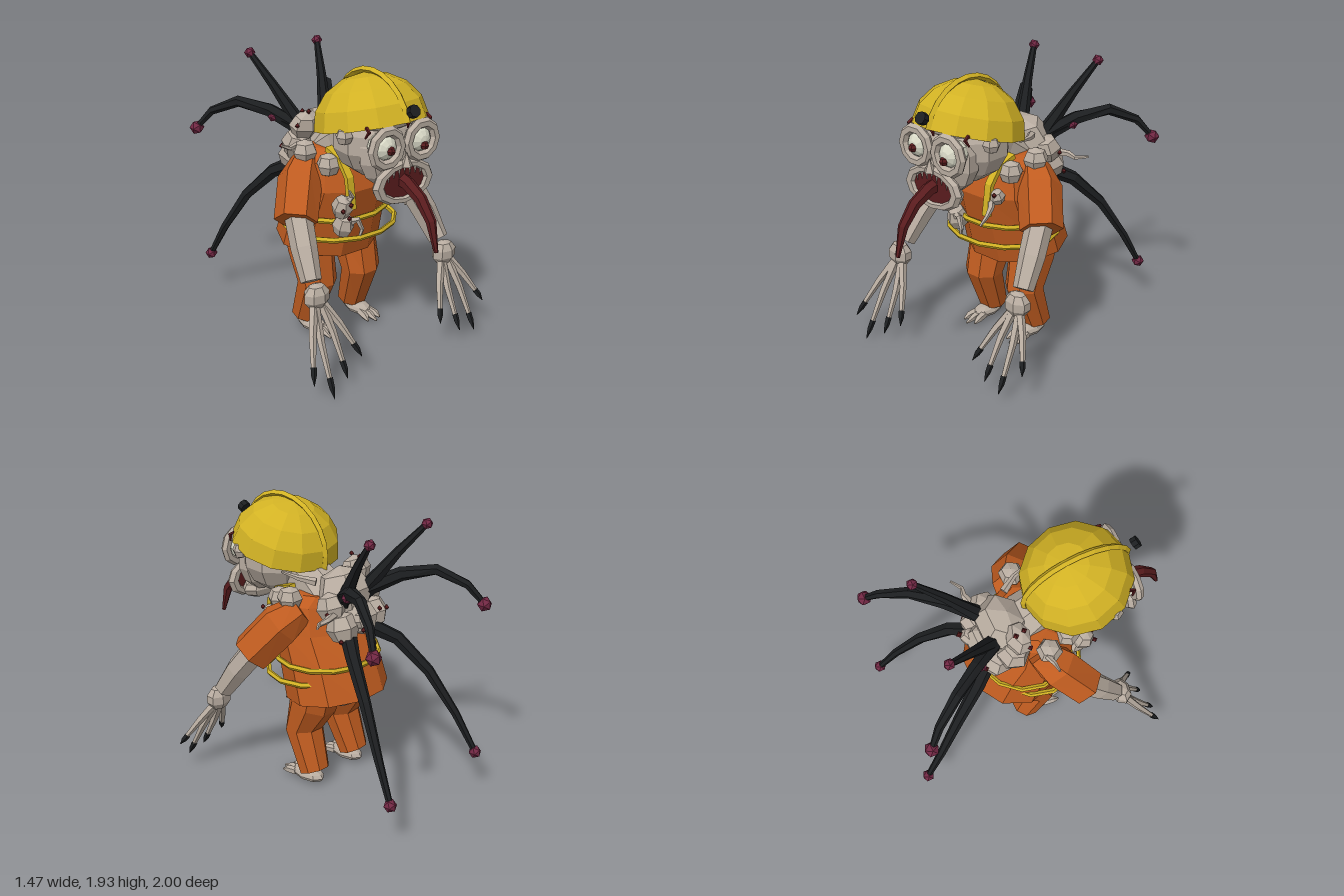
import * as THREE from 'three';

const V = (p) => new THREE.Vector3(...p);

export function createModel() {
  const root = new THREE.Group();
  root.name = 'mutantWorker';
  const mat = (name, color, side = THREE.FrontSide) => {
    const m = new THREE.MeshStandardMaterial({ color, side });
    m.name = name;
    return m;
  };
  const skin = mat('paleSkin', 0xb8aca0);
  const orange = mat('orangeCloth', 0xc05c20, THREE.DoubleSide);
  const yellow = mat('safetyYellow', 0xd2b224, THREE.DoubleSide);
  const black = mat('black', 0x1c1e20);
  const white = mat('eyeWhite', 0xd8d8c6);
  const red = mat('darkRed', 0x5a1c1e);
  const purple = mat('tipPurple', 0x722844);

  // faceted mesh helper
  const add = (name, geo, material, pos = [0, 0, 0], rot = [0, 0, 0], scale = [1, 1, 1], parent = root) => {
    const g = geo.index ? geo.toNonIndexed() : geo;
    g.computeVertexNormals();
    const m = new THREE.Mesh(g, material);
    m.name = name;
    m.position.set(...pos);
    m.rotation.set(...rot);
    m.scale.set(...scale);
    parent.add(m);
    return m;
  };
  const blob = (name, material, pos, r, seg = 7, rot) =>
    add(name, new THREE.SphereGeometry(1, seg, Math.max(4, seg - 2)), material, pos, rot, Array.isArray(r) ? r : [r, r, r]);

  // skin a list of rings into a surface, closed at the end and, if asked, at the start
  const loft = (rings, closeStart = true) => {
    const n = rings[0].length, p = [];
    const tri = (...vs) => vs.forEach((v) => p.push(v.x, v.y, v.z));
    for (let i = 0; i < rings.length - 1; i++) {
      for (let j = 0; j < n; j++) {
        const k = (j + 1) % n, a = rings[i], b = rings[i + 1];
        tri(a[j], a[k], b[j]);
        tri(a[k], b[k], b[j]);
      }
    }
    const mid = (r) => r.reduce((s, v) => s.add(v), new THREE.Vector3()).divideScalar(n);
    const first = rings[0], last = rings[rings.length - 1], c0 = mid(first), c1 = mid(last);
    for (let j = 0; j < n; j++) {
      const k = (j + 1) % n;
      if (closeStart) tri(c0, first[k], first[j]);
      tri(c1, last[j], last[k]);
    }
    const g = new THREE.BufferGeometry();
    g.setAttribute('position', new THREE.Float32BufferAttribute(p, 3));
    return g;
  };

  // tapered limb through points; a radius may be [across, deep]
  const limb = (name, material, pts, radii, sides = 6) => {
    const P = pts.map(V), end = P[P.length - 1];
    const dir = end.clone().sub(P[0]).normalize();
    const ref = Math.abs(dir.x) > 0.8 ? V([0, 0, 1]) : V([1, 0, 0]);
    const rings = P.map((c, i) => {
      const t = P[Math.min(i + 1, P.length - 1)].clone().sub(P[Math.max(i - 1, 0)]).normalize();
      const u = ref.clone().addScaledVector(t, -ref.dot(t)).normalize();
      const v = t.clone().cross(u);
      const [a, b] = Array.isArray(radii[i]) ? radii[i] : [radii[i], radii[i]];
      return Array.from({ length: sides }, (_, j) => {
        const w = ((j + 0.5) / sides) * Math.PI * 2;
        return c.clone().addScaledVector(u, Math.cos(w) * a).addScaledVector(v, Math.sin(w) * b);
      });
    });
    return add(name, loft(rings), material);
  };

  // torso jacket: [front y, back y, front z, back z, half width]
  const torso = [
    [0.62, 0.71, 0.18, -0.43, 0.365], [0.9, 0.92, 0.25, -0.35, 0.35], [1.12, 1.12, 0.31, -0.23, 0.33],
    [1.29, 1.3, 0.26, -0.16, 0.29], [1.36, 1.36, 0.12, -0.13, 0.2],
  ].map(([yf, yb, zf, zb, rx]) => Array.from({ length: 10 }, (_, j) => {
    const w = ((j + 0.5) / 10) * Math.PI * 2, c = Math.cos(w) / Math.cos(Math.PI / 10), t = (c + 1) / 2;
    return V([Math.sin(w) * rx, yb + (yf - yb) * t, zb + (zf - zb) * t]);
  }));
  add('jacket', loft(torso, false), orange);
  blob('pelvis', skin, [0, 0.7, -0.18], [0.2, 0.13, 0.14], 8);

  // reflective hoops round the jacket
  for (const [y, z, rx, rz] of [[0.92, -0.035, 0.36, 0.33], [0.81, 0.02, 0.39, 0.335]])
    add('reflectiveBand', new THREE.TorusGeometry(1, 0.048, 5, 14), yellow, [0, y, z], [Math.PI / 2, 0, 0], [rx, rz, 0.42]);

  // head, neck and face
  limb('neck', skin, [[0, 1.28, -0.05], [0, 1.4, 0.1], [0, 1.48, 0.28]], [0.17, 0.15, 0.16], 8);
  add('head', new THREE.SphereGeometry(1, 10, 7), skin, [0, 1.52, 0.38], [0, 0.31, 0], [0.3, 0.265, 0.26]);
  blob('facePad', skin, [0, 1.46, 0.53], [0.24, 0.24, 0.12], 9);
  blob('brow', skin, [0, 1.66, 0.55], [0.25, 0.06, 0.1], 8);
  blob('jaw', skin, [0, 1.225, 0.58], [0.17, 0.075, 0.09], 8);
  add('nose', new THREE.ConeGeometry(0.04, 0.09, 5), skin, [0, 1.44, 0.69]);
  add('lips', new THREE.TorusGeometry(1, 0.22, 6, 12), skin, [0, 1.285, 0.66], [0, 0, 0], [0.195, 0.118, 0.15]);
  add('mouthInside', new THREE.CylinderGeometry(1, 1, 0.02, 12), red, [0, 1.29, 0.66], [Math.PI / 2, 0, 0], [0.18, 1, 0.11]);
  for (let i = -3; i <= 3; i++) {
    const y = 1.375 - Math.abs(i) * 0.012;
    add('upperTooth', new THREE.ConeGeometry(0.013, 0.06 + (i & 1) * 0.02, 4), skin, [i * 0.042, y, 0.675], [Math.PI, 0, 0]);
  }
  limb('tongue', red, [[0, 1.3, 0.62], [0, 1.285, 0.71], [0, 1.225, 0.83], [0, 1.11, 0.93], [0, 0.925, 0.985]],
    [0.05, 0.045, 0.04, 0.033, 0.014]);
  for (const s of [-1, 1]) {
    add('eyeSocket', new THREE.TorusGeometry(0.109, 0.034, 6, 10), skin, [s * 0.137, 1.53, 0.665], [0, 0, 0], [1, 1, 0.9]);
    blob('eyeball', white, [s * 0.135, 1.53, 0.615], 0.09, 10, [Math.PI / 2, 0, 0]);
    blob('pupil', red, [s * 0.132, 1.513 - s * 0.01, 0.7], 0.029, 6);
    blob('ear', skin, [s * 0.3, 1.585, 0.46], 0.058, 6);
    // blood cracks on the brow
    limb('crack', red, [[s * 0.235, 1.66, 0.59], [s * 0.24, 1.64, 0.625], [s * 0.255, 1.6, 0.605]], [0.012, 0.012, 0.006], 4);
  }
  limb('crack', red, [[0, 1.7, 0.64], [-0.02, 1.69, 0.665], [0.02, 1.66, 0.675], [0.02, 1.63, 0.67]], [0.012, 0.012, 0.012, 0.005], 4);

  // tilted hard hat with crest and lamp
  const hat = new THREE.Group();
  hat.name = 'hardHat';
  hat.position.set(0, 1.58, 0.345);
  hat.rotation.x = -0.26;
  root.add(hat);
  add('hatDome', new THREE.SphereGeometry(0.366, 12, 4, 0, Math.PI * 2, 0, Math.PI / 2), yellow, [0, 0, 0], [0, 0, 0], [1, 0.87, 1], hat);
  add('hatCrest', new THREE.TorusGeometry(0.362, 0.022, 4, 12, Math.PI), yellow, [0, 0, 0], [0, Math.PI / 2, 0], [1, 0.93, 1], hat);
  add('hatLamp', new THREE.CylinderGeometry(0.04, 0.04, 0.04, 8), black, [0, 1.755, 0.74], [Math.PI / 2 - 0.5, 0, 0]);

  // arms, hands, legs, feet, shoulder straps
  const fingerTips = {
    '-1': [[0.73, 0.13, 0.73], [0.6, 0.005, 0.765], [0.465, 0.08, 0.72], [0.33, 0.18, 0.69]],
    '1': [[0.735, 0.23, 0.67], [0.6, 0.075, 0.74], [0.475, 0.11, 0.73], [0.335, 0.19, 0.69]],
  };
  for (const s of [-1, 1]) {
    limb('sleeve', orange, [[s * 0.24, 1.28, -0.02], [s * 0.35, 1.19, 0.06], [s * 0.485, 0.985, 0.2]], [0.1, 0.145, 0.14]);
    limb('forearm', skin, [[s * 0.45, 1.03, 0.17], [s * 0.5, 0.84, 0.31], [s * 0.53, 0.665, 0.425]], [0.09, 0.085, 0.067]);
    blob('palm', skin, [s * 0.53, 0.585, 0.48], [0.095, 0.088, 0.07], 7);
    for (const [x, y, z] of fingerTips[s]) {
      const at = (k, bow) => [s * (0.53 + (x - 0.53) * k + Math.sign(x - 0.53) * bow), 0.56 + (y - 0.56) * k, 0.48 + (z - 0.48) * k];
      limb('finger', skin, [at(0.05, 0.02), at(0.42, 0.025), at(0.82, 0.01)], [0.03, 0.025, 0.016], 5);
      limb('claw', black, [at(0.78, 0.01), at(0.88, 0.007), at(1, 0)], [0.021, 0.019, 0.002], 5);
    }
    limb('trouserLeg', orange, [[s * 0.18, 0.74, -0.1], [s * 0.18, 0.62, -0.07], [s * 0.185, 0.4, 0.01], [s * 0.2, 0.11, -0.1]],
      [[0.155, 0.17], [0.155, 0.17], [0.14, 0.125], [0.108, 0.098]], 8);
    blob('foot', skin, [s * 0.2, 0.055, -0.04], [0.075, 0.045, 0.135], 8);
    for (let i = -1; i <= 1; i++)
      limb('toe', skin, [[s * 0.2 + i * 0.035, 0.05, 0.04], [s * 0.2 + i * 0.045, 0.045, 0.11], [s * 0.2 + i * 0.05, 0.03, 0.18 - Math.abs(i) * 0.03]],
        [0.028, 0.025, 0.008], 5);
    limb('shoulderStrap', yellow, [[s * 0.17, 1.38, 0.12], [s * 0.165, 1.34, 0.25], [s * 0.16, 1.24, 0.325], [s * 0.155, 1.03, 0.35]],
      Array(4).fill([0.036, 0.024]), 4);
    blob('shoulderLump', skin, [s * 0.29, 1.36, 0.03], [0.085, 0.08, 0.085], 6);
    blob('collarLump', skin, [s * 0.22, 1.3, 0.19], 0.08, 6);

    // back tentacles with bulb tips
    const tentacles = [
      [0.038, [[0.08, 1.35, -0.24], [0.14, 1.51, -0.35], [0.2, 1.67, -0.46], [0.275, 1.865, -0.615]]],
      [0.051, [[0.09, 1.38, -0.25], [0.24, 1.5, -0.45], [0.37, 1.54, -0.63], [0.48, 1.45, -0.8], [0.55, 1.32, -0.89]]],
      [0.044, [[0.1, 1.15, -0.3], [0.22, 1.06, -0.45], [0.32, 0.85, -0.64], [0.4, 0.56, -0.82], [0.445, 0.305, -0.96]]],
      [0.038, [[0.08, 1.34, -0.24], [0.16, 1.42, -0.32], [0.235, 1.465, -0.41]]],
    ];
    for (const [r, path] of tentacles) {
      const p = path.map(([x, y, z]) => [s * x, y, z]), n = p.length - 1;
      limb('tentacle', black, p, p.map((_, i) => 0.056 - (0.036 * i) / n), 6);
      add('tentacleBulb', new THREE.IcosahedronGeometry(r, 0), purple, p[n]);
    }
  }

  // fleshy growths: [x, y, z, radius]
  const growths = [
    [0, 1.38, -0.18, [0.21, 0.17, 0.17]], [-0.17, 1.47, -0.13, [0.085, 0.1, 0.12]], [-0.16, 1.22, -0.28, 0.11],
    [0.14, 1.2, -0.29, 0.11], [0, 1.24, -0.31, 0.12], [0.17, 1.33, -0.22, 0.1], [-0.2, 1.33, -0.18, 0.11],
    [0.05, 1.25, -0.38, 0.06], [-0.21, 1.05, 0.32, [0.075, 0.085, 0.07]], [-0.17, 0.9, 0.28, [0.08, 0.09, 0.07]], [0.2, 1.16, 0.3, 0.055],
  ];
  for (const [x, y, z, r] of growths) blob('growth', skin, [x, y, z], r, 6, [0.3, x * 9, 0]);

  // red sores on the growths
  const sores = [
    [-0.25, 1.05, 0.385], [-0.2, 0.99, 0.385], [-0.19, 1.08, 0.39], [0.22, 1.19, 0.35], [0.25, 1.31, -0.26], [0.08, 1.28, -0.43],
    [0.1, 1.21, -0.43], [0.22, 1.14, -0.35], [-0.26, 1.49, -0.09], [-0.18, 1.56, -0.15], [-0.2, 1.26, -0.37], [-0.17, 1.57, -0.09],
    [-0.08, 1.3, -0.41],
  ];
  for (const p of sores) add('sore', new THREE.OctahedronGeometry(0.02), red, p);

  // thin fleshy feelers
  const feelers = [
    [[0.2, 1.3, -0.27], [0.3, 1.3, -0.3], [0.36, 1.29, -0.29], [0.43, 1.3, -0.34]],
    [[-0.24, 1.38, 0.02], [-0.34, 1.4, 0.0], [-0.4, 1.4, 0.02], [-0.46, 1.43, 0.02]],
    [[0.16, 1.46, -0.08], [0.22, 1.48, 0.02], [0.25, 1.5, 0.14]],
    [[-0.14, 0.93, 0.32], [-0.1, 0.94, 0.34], [-0.07, 0.87, 0.35], [-0.09, 0.8, 0.34]],
    [[0.17, 1.14, 0.32], [0.2, 1.1, 0.36], [0.21, 1.06, 0.41], [0.2, 1.01, 0.46]],
    [[-0.2, 1.08, 0.34], [-0.17, 1.13, 0.37], [-0.2, 1.18, 0.38]],
  ];
  for (const f of feelers) limb('feeler', skin, f, f.map((_, i) => 0.028 - (0.02 * i) / (f.length - 1)), 5);

  return root;
}
